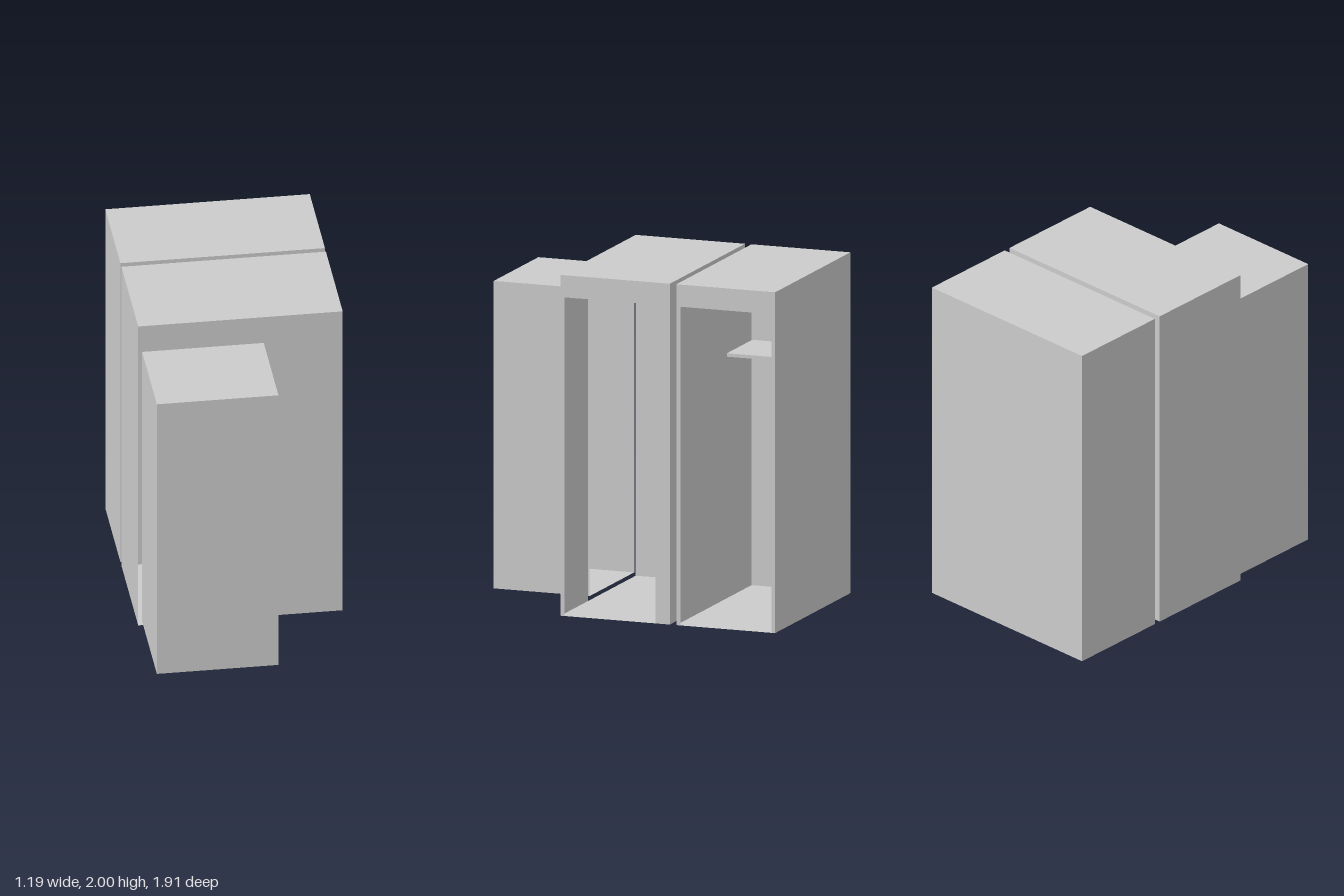
import * as THREE from 'three';

const material = new THREE.MeshStandardMaterial({ color: 0xcccccc, side: THREE.DoubleSide, flatShading: true });

// Thin panel from an outline, in the XY plane
function panel(name, points) {
  const shape = new THREE.Shape(points.map(([x, y]) => new THREE.Vector2(x, y)));
  const mesh = new THREE.Mesh(new THREE.ShapeGeometry(shape), material);
  mesh.name = name;
  return mesh;
}

const rect = (a0, b0, a1, b1) => [[a0, b0], [a1, b0], [a1, b1], [a0, b1]];

// Panel across x at depth z
function across(name, z, points) {
  const mesh = panel(name, points);
  mesh.position.z = z;
  return mesh;
}

// Panel along z at position x; outline points are [z, y]
function along(name, x, points) {
  const mesh = panel(name, points.map(([z, y]) => [-z, y]));
  mesh.rotation.y = Math.PI / 2;
  mesh.position.x = x;
  return mesh;
}

// Horizontal panel at height y; outline points are [x, z]
function level(name, y, points) {
  const mesh = panel(name, points.map(([x, z]) => [x, -z]));
  mesh.rotation.x = -Math.PI / 2;
  mesh.position.y = y;
  return mesh;
}

// Wall outline with a doorway cut up from the floor
const doorway = (a0, a1, h, d0, d1, dh) =>
  [[a0, 0], [d0, 0], [d0, dh], [d1, dh], [d1, 0], [a1, 0], [a1, h], [a0, h]];

// Hollow compartment; a null outline leaves that side open
function compartment(name, [x0, x1], [y0, y1], [z0, z1], custom = {}) {
  const group = new THREE.Group();
  group.name = name;
  const face = rect(x0, y0, x1, y1), side = rect(z0, y0, z1, y1), plan = rect(x0, z0, x1, z1);
  const { front = face, back = face, left = side } = custom;
  group.add(level('floor', y0, plan), level('roof', y1, plan), along('rightWall', x0, side));
  if (left) group.add(along('leftWall', x1, left));
  if (front) group.add(across('frontWall', z1, front));
  if (back) group.add(across('backWall', z0, back));
  return group;
}

export function createModel() {
  const root = new THREE.Group();
  root.name = 'compartments';
  const W = 0.593, H = 2;

  // Rear compartment with a side doorway and an inner shelf
  const rear = compartment('rearCompartment', [-W, W], [0, H], [-0.957, -0.348], {
    left: doorway(-0.957, -0.348, H, -0.935, -0.374, 1.87),
  });
  const shelf = new THREE.Mesh(new THREE.BoxGeometry(0.4, 0.02, 0.6), material);
  shelf.name = 'shelf';
  shelf.position.set(-W + 0.201, 1.43, -0.6525);
  rear.add(shelf);

  // Middle compartment with a side doorway and a corner opening in its front wall
  const middle = compartment('middleCompartment', [-W, W], [0, H], [-0.308, 0.366], {
    left: doorway(-0.308, 0.366, H, -0.221, 0.34, 1.87),
    front: [[0.161, 0], [W, 0], [W, H], [-W, H], [-W, 1.897], [0.161, 1.897]],
  });

  // Front compartment, open towards the middle one
  const front = compartment('frontCompartment', [-0.57, 0.135], [0.024, 1.828], [0.366, 0.957], { back: null });

  root.add(rear, middle, front);
  return root;
}
